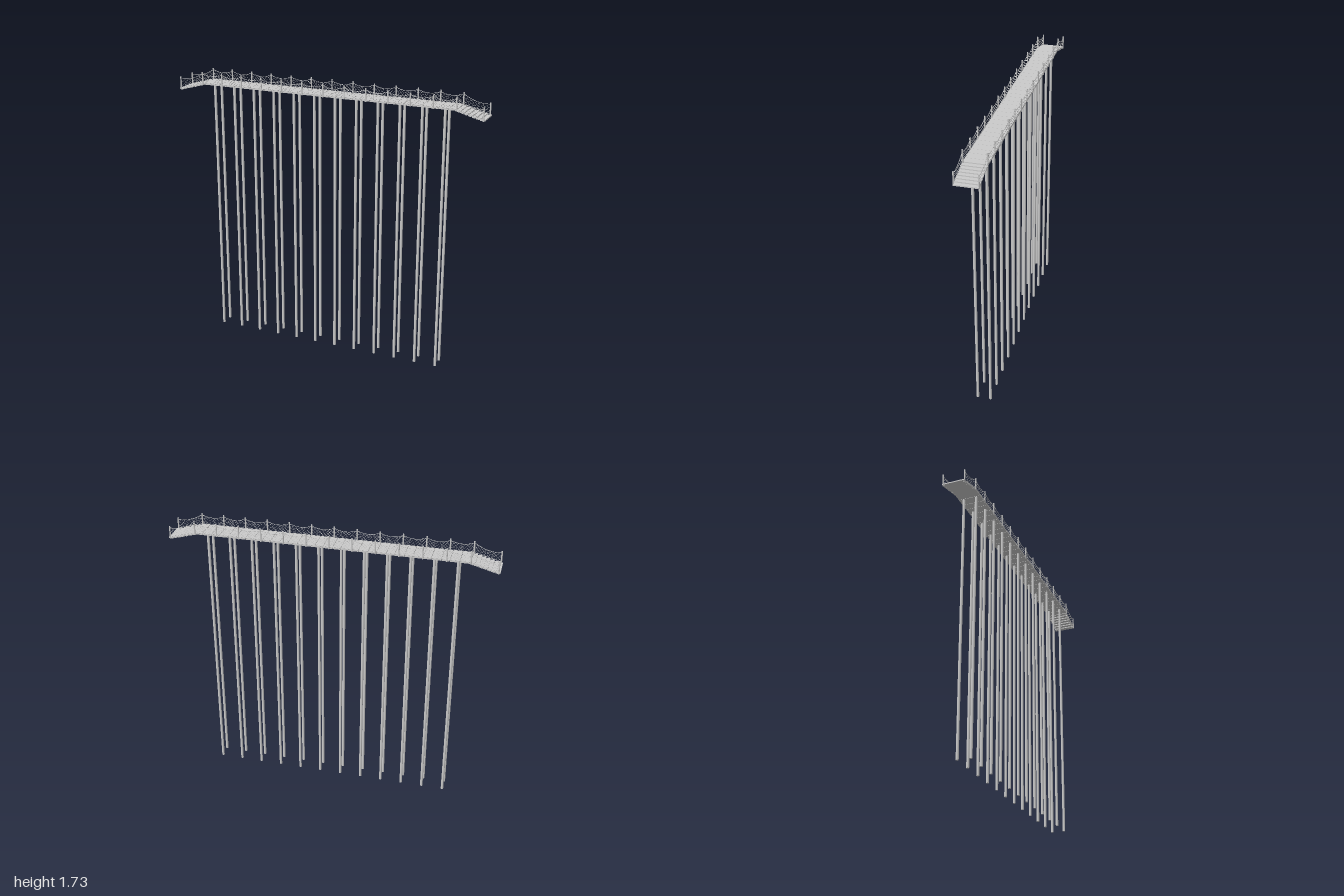
import * as THREE from 'three';
import { mergeGeometries } from 'three/addons/utils/BufferGeometryUtils.js';

const V = (x, y, z) => new THREE.Vector3(x, y, z);
const grey = new THREE.MeshStandardMaterial({ color: 0xcccccc });
const flatGrey = new THREE.MeshStandardMaterial({ color: 0xcccccc, flatShading: true });

const HALF_Z = 0.068;      // railing line
const DECK_TOP = 1.66;
const DECK_END = 0.83;
const BAY = 2 * DECK_END / 12;

// Thin straight strand between two points
function strand(a, b, r) {
  const d = b.clone().sub(a);
  const g = new THREE.CylinderGeometry(r, r, d.length(), 3, 1, true);
  g.applyQuaternion(new THREE.Quaternion().setFromUnitVectors(V(0, 1, 0), d.normalize()));
  const m = a.clone().add(b).multiplyScalar(0.5);
  return g.translate(m.x, m.y, m.z);
}

function box(w, h, d, x, y, z) {
  return new THREE.BoxGeometry(w, h, d).translate(x, y, z);
}

export function createModel() {
  const model = new THREE.Group();
  const add = (name, geometries, material = flatGrey) => {
    const mesh = new THREE.Mesh(mergeGeometries(geometries), material);
    mesh.name = name;
    model.add(mesh);
  };

  // Tall piles in pairs, one pair under each bay
  const piles = [];
  for (let i = 0; i < 12; i++) {
    for (const z of [-0.04, 0.04]) {
      const x = (i - 5.5) * 0.1376;
      piles.push(new THREE.CylinderGeometry(0.0085, 0.0085, 1.652, 12).translate(x, 0.826, z));
    }
  }
  add('piles', piles, grey);

  // Deck planks with narrow, slightly uneven seams between them
  const seams = [-DECK_END];
  for (let i = 0; i < 30; i++) seams.push(-0.767 + i * 0.0533 + (i % 2) * 0.004);
  seams.push(DECK_END);
  const planks = [];
  for (let i = 0; i < seams.length - 1; i++) {
    const a = seams[i], b = seams[i + 1];
    planks.push(box(b - a - 0.002, 0.009, 0.138, (a + b) / 2, DECK_TOP - 0.005, 0));
  }
  add('deckPlanks', planks);

  // Overlapping steps at both ends, with small lashings under their edges
  const treads = [], lashings = [];
  const steps = 7, stepW = (1 - DECK_END) / steps;
  for (const s of [-1, 1]) {
    for (let i = 0; i < steps; i++) {
      const w = stepW + 0.005;
      const x = s * (DECK_END + (i + 1) * stepW - w / 2);
      const y = DECK_TOP - 0.01 - i * 0.0065;
      treads.push(box(w, 0.007, 0.138, x, y, 0));
      for (const z of [-0.063, 0.063]) lashings.push(box(0.01, 0.005, 0.008, x, y - 0.0045, z));
    }
  }
  add('stairTreads', treads);
  add('treadLashings', lashings);

  // Post stations: base and top heights along the walkway
  const stations = [{ x: -0.99, base: 1.605, top: 1.685 }];
  for (let i = 0; i <= 12; i++) {
    stations.push({ x: -DECK_END + i * BAY, base: 1.648, top: 1.73 });
  }
  stations.push({ x: 0.99, base: 1.605, top: 1.685 });

  const posts = [], ropes = [], net = [];
  for (const z of [-HALF_Z, HALF_Z]) {
    for (const p of stations) {
      posts.push(new THREE.CylinderGeometry(0.0045, 0.0045, p.top - p.base, 8)
        .translate(p.x, (p.top + p.base) / 2, z));
    }
    for (let b = 0; b < stations.length - 1; b++) {
      const p = stations[b], q = stations[b + 1];
      // Point in the bay: t along, v from the foot rope to the sagging hand rope
      const at = (t, v) => {
        const low = THREE.MathUtils.lerp(p.base, q.base, t) + 0.013;
        const high = THREE.MathUtils.lerp(p.top, q.top, t) - 0.01 - 0.06 * t * (1 - t);
        return V(THREE.MathUtils.lerp(p.x, q.x, t), THREE.MathUtils.lerp(low, high, v), z);
      };
      // Hand rope and foot rope
      for (const v of [0, 1]) {
        const pts = [0, 0.2, 0.4, 0.6, 0.8, 1].map(t => at(t, v));
        ropes.push(new THREE.TubeGeometry(new THREE.CatmullRomCurve3(pts), 10, 0.0014, 5));
      }
      // Diamond netting
      const cols = 14, rows = 5;
      for (let i = 0; i < cols; i++) {
        for (let j = 0; j < rows; j++) {
          const rising = (i + j) % 2 === 0;
          const a = at(i / cols, (rising ? j : j + 1) / rows);
          const c = at((i + 1) / cols, (rising ? j + 1 : j) / rows);
          net.push(strand(a, c, 0.0007));
        }
      }
    }
  }
  add('railingPosts', posts, grey);
  add('railingRopes', ropes, grey);
  add('railingNet', net);

  return model;
}
